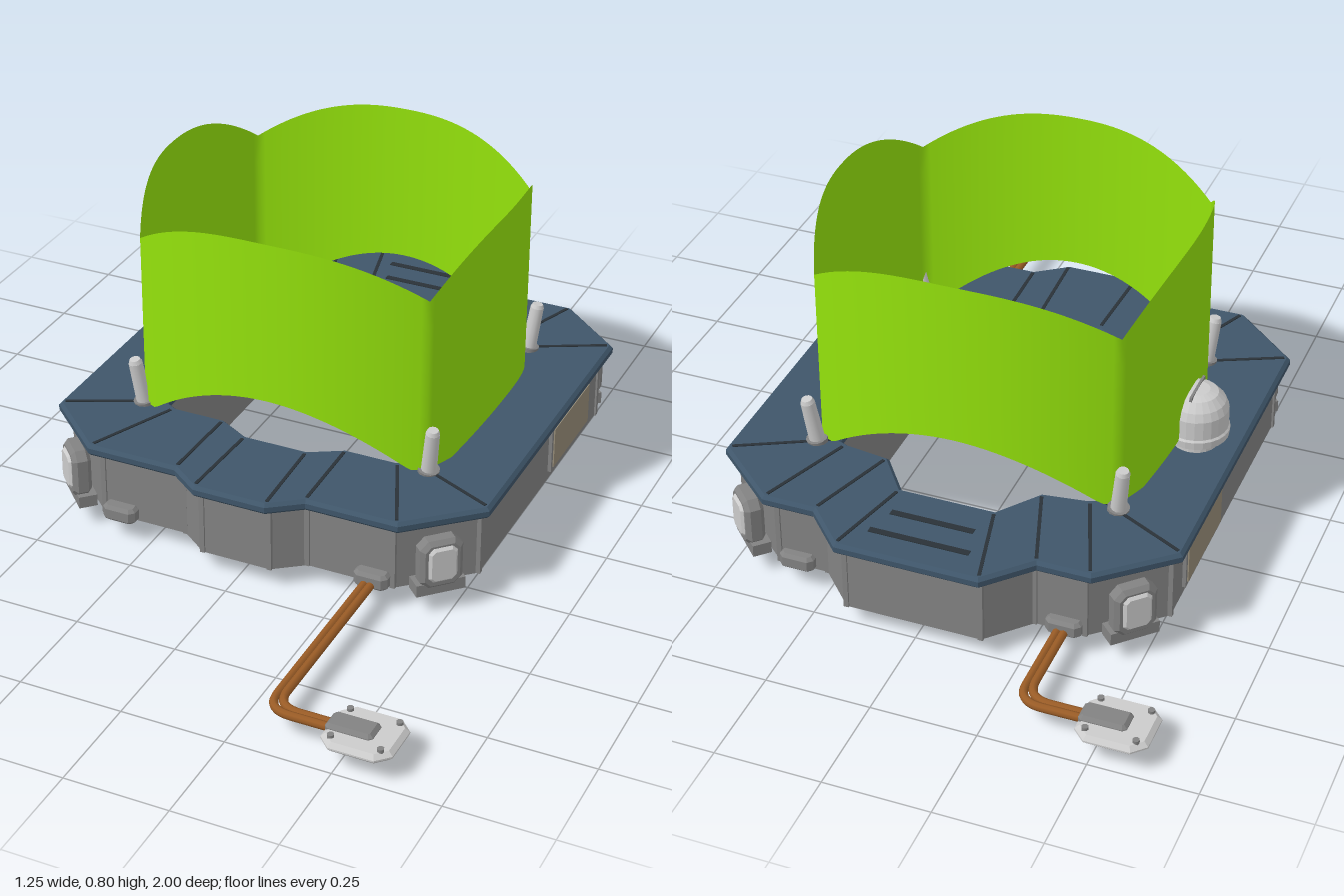
import * as THREE from 'three';

const mat = (color, extra = {}) => new THREE.MeshStandardMaterial({ color, ...extra });
const grey = mat(0xcccccc);
const bodyGrey = mat(0x828282);
const blue = mat(0x3f566a);
const dark = mat(0x2a3238);
const copper = mat(0x9a5c26);
const beige = mat(0x968c78);
const green = mat(0x94e20c, { side: THREE.DoubleSide });
const arrowGreen = mat(0x6fd000);
const CZ = -0.16; // centre of the ring along z

// half outlines of the ring, [x, z] from back to front; index-matched corners
const OUTER = [[0.17, -0.785], [0.265, -0.685], [0.39, -0.685], [0.55, -0.545], [0.55, 0.27], [0.39, 0.415], [0.165, 0.415], [0.09, 0.47]];
const INNER = [[0.115, -0.555], [0.19, -0.455], [0.3, -0.44], [0.325, -0.43], [0.325, 0.165], [0.29, 0.185], [0.16, 0.185], [0.08, 0.23]];

// full closed outline, counter-clockwise, scaled about the ring centre
function outline(half, s = 1) {
  const right = half.map(([x, z]) => new THREE.Vector2(x * s, -(CZ + (z - CZ) * s)));
  const left = right.map(p => new THREE.Vector2(-p.x, p.y)).reverse();
  return [...right, ...left].reverse();
}

function add(parent, name, geometry, material, pos = [0, 0, 0]) {
  const mesh = new THREE.Mesh(geometry, material);
  mesh.name = name;
  mesh.position.set(...pos);
  parent.add(mesh);
  return mesh;
}

// upright extrusion of a ring from y0 to y1, with optional bevel
function ring(parent, name, outer, inner, y0, y1, material, bevel = 0) {
  const shape = new THREE.Shape(outer);
  shape.holes.push(new THREE.Path(inner));
  const g = new THREE.ExtrudeGeometry(shape, {
    depth: y1 - y0 - 2 * bevel, bevelEnabled: bevel > 0, bevelSize: bevel,
    bevelThickness: bevel, bevelOffset: -bevel, bevelSegments: 1,
  });
  g.rotateX(-Math.PI / 2);
  add(parent, name, g, material, [0, y0 + bevel, 0]);
}

// thin bar lying between two [x, z] points
function bar(parent, name, a, b, y, w, h, material) {
  const dx = b[0] - a[0], dz = b[1] - a[1];
  const m = add(parent, name, new THREE.BoxGeometry(Math.hypot(dx, dz), h, w), material,
    [(a[0] + b[0]) / 2, y, (a[1] + b[1]) / 2]);
  m.rotation.y = -Math.atan2(dz, dx);
}

// plate with cut corners and bevelled edges, lying flat
function cutPlate(w, d, h, cut, bevel) {
  const x = w / 2, y = d / 2;
  const pts = [[x - cut, -y], [x, -y + cut], [x, y - cut], [x - cut, y], [-x + cut, y], [-x, y - cut], [-x, -y + cut], [-x + cut, -y]];
  const g = new THREE.ExtrudeGeometry(new THREE.Shape(pts.map(p => new THREE.Vector2(...p))), {
    depth: h - 2 * bevel, bevelSize: bevel, bevelThickness: bevel, bevelOffset: -bevel, bevelSegments: 1,
  });
  return g.translate(0, 0, bevel).rotateX(-Math.PI / 2);
}

// four bowed, arched panels meeting at the corners, as one closed sheet
function canopy(parent) {
  const n = 48, rows = 6, pos = [], idx = [];
  for (let k = 0; k < 4; k++) for (let i = 0; i < n; i++) {
    const t = (i / n) * 2 - 1, a = Math.abs(t), sign = k < 2 ? 1 : -1, wide = k % 2 === 0;
    const x = sign * (wide ? 0.365 * t : 0.435 - 0.07 * a ** 2.1);
    const z = sign * (wide ? 0.4 - 0.09 * a ** 2.1 : -0.31 * t);
    const top = 0.795 - 0.105 * a ** 2.5;
    const low = Math.max(0.25, wide ? 0.39 - 0.17 * a ** 2 : 0.295 - 0.08 * a ** 2);
    for (let j = 0; j <= rows; j++) pos.push(x, low + (top - low) * j / rows, z - 0.12);
  }
  for (let i = 0; i < 4 * n; i++) for (let j = 0; j < rows; j++) {
    const a = i * (rows + 1) + j, b = ((i + 1) % (4 * n)) * (rows + 1) + j;
    idx.push(a, b, a + 1, b, b + 1, a + 1);
  }
  const g = new THREE.BufferGeometry();
  g.setAttribute('position', new THREE.Float32BufferAttribute(pos, 3));
  g.setIndex(idx);
  g.computeVertexNormals();
  add(parent, 'canopy', g, green);
}

// ground pad with its connector and twin copper pipe back into the ring
function cableFoot(wallZ) {
  const g = new THREE.Group(), padZ = 0.924;
  g.name = 'cableFoot';
  add(g, 'pad', cutPlate(0.165, 0.152, 0.024, 0.03, 0.01), grey, [0.543, 0.05, padZ]);
  add(g, 'connector', cutPlate(0.11, 0.06, 0.032, 0.008, 0.008), bodyGrey, [0.515, 0.052, padZ]);
  for (const x of [-0.057, 0.057]) for (const z of [-0.05, 0.05])
    add(g, 'padBolt', new THREE.CylinderGeometry(0.008, 0.008, 0.012, 8), bodyGrey, [0.543 + x, 0.075, padZ + z]);
  for (const off of [-0.008, 0.008]) {
    const path = new THREE.CurvePath(), v = (x, z) => new THREE.Vector3(x, 0.062, z);
    const x = 0.322 + off, z = padZ - off;
    path.add(new THREE.LineCurve3(v(x, wallZ), v(x, z - 0.06)));
    path.add(new THREE.QuadraticBezierCurve3(v(x, z - 0.06), v(x, z), v(x + 0.06, z)));
    path.add(new THREE.LineCurve3(v(x + 0.06, z), v(0.49, z)));
    add(g, 'pipe', new THREE.TubeGeometry(path, 60, 0.01, 8), copper);
  }
  return g;
}

// lamp housing on a cut corner, built facing +z
function cornerLamp() {
  const g = new THREE.Group();
  g.name = 'cornerLamp';
  add(g, 'housing', cutPlate(0.105, 0.125, 0.045, 0.02, 0.01).rotateX(Math.PI / 2), bodyGrey, [0, 0.13, -0.015]);
  add(g, 'lens', cutPlate(0.07, 0.09, 0.016, 0.012, 0.006).rotateX(Math.PI / 2), grey, [0, 0.133, 0.021]);
  add(g, 'foot', new THREE.BoxGeometry(0.12, 0.03, 0.045), bodyGrey, [0, 0.065, 0]);
  return g;
}

// flat arrow pointing down, facing +z
function arrow() {
  const s = new THREE.Shape([[0, -0.05], [0.03, -0.015], [0.01, -0.015], [0.01, 0.05], [-0.01, 0.05], [-0.01, -0.015], [-0.03, -0.015]].map(p => new THREE.Vector2(...p)));
  return new THREE.ExtrudeGeometry(s, { depth: 0.005, bevelEnabled: false });
}

export function createModel() {
  const model = new THREE.Group();
  model.name = 'ringStation';

  // hollow ring: outer wall, inner collar, foot flange and blue top
  ring(model, 'outerWall', outline(OUTER, 0.957), outline(OUTER, 0.93), 0.05, 0.225, bodyGrey);
  ring(model, 'innerCollar', outline(INNER, 1.012), outline(INNER, 0.995), 0, 0.225, bodyGrey);
  ring(model, 'footFlange', outline(INNER, 1.05), outline(INNER, 0.995), 0, 0.006, bodyGrey);
  ring(model, 'collarRib', outline(INNER, 1.03), outline(INNER, 1.0), 0.04, 0.052, bodyGrey);
  ring(model, 'topDeck', outline(OUTER, 1.012), outline(INNER, 0.985), 0.218, 0.247, blue, 0.008);

  for (const s of [1, -1]) {
    // seams between deck plates
    OUTER.forEach((o, i) => {
      const p = INNER[i];
      const at = t => [s * (o[0] + (p[0] - o[0]) * t), o[1] + (p[1] - o[1]) * t];
      bar(model, 'deckSeam', at(0.03), at(0.95), 0.2465, 0.008, 0.005, dark);
    });
    // vertical ribs on the outer wall corners
    for (const [x, z] of OUTER)
      add(model, 'wallRib', new THREE.BoxGeometry(0.012, 0.17, 0.012), bodyGrey, [s * x * 0.955, 0.136, CZ + (z - CZ) * 0.955]);
    // side windows
    add(model, 'windowFrame', new THREE.BoxGeometry(0.034, 0.125, 0.26), bodyGrey, [s * 0.518, 0.135, -0.32]);
    add(model, 'window', new THREE.BoxGeometry(0.04, 0.105, 0.24), beige, [s * 0.518, 0.135, -0.32]);
    // brackets low on the front and back walls
    for (const z of [0.4, -0.665])
      add(model, 'bracket', cutPlate(0.085, 0.045, 0.04, 0.012, 0.008), bodyGrey, [s * 0.325, 0.05, z]);

    for (const f of [1, -1]) {
      // corner lamps
      const lamp = cornerLamp();
      lamp.position.set(s * 0.463, 0, f > 0 ? 0.346 : -0.616);
      lamp.rotation.y = Math.atan2(s, f);
      model.add(lamp);
      // leaning posts holding the canopy corners
      const post = new THREE.Group();
      post.name = 'cornerPost';
      add(post, 'postRod', new THREE.CylinderGeometry(0.017, 0.019, 0.115, 12), grey, [0, 0.058, 0]);
      add(post, 'postCap', new THREE.CylinderGeometry(0.013, 0.017, 0.01, 12), grey, [0, 0.12, 0]);
      add(post, 'postBase', new THREE.CylinderGeometry(0.026, 0.026, 0.012, 12), bodyGrey, [0, 0.004, 0]);
      post.position.set(s * 0.37, 0.245, -0.13 + f * 0.317);
      post.rotation.set(f * 0.12, 0, -s * 0.12);
      model.add(post);
    }
  }

  // vent slots on the back deck
  for (const [z, w] of [[-0.715, 0.24], [-0.64, 0.2]])
    add(model, 'ventSlot', new THREE.BoxGeometry(w, 0.004, 0.016), dark, [0, 0.247, z]);

  canopy(model);

  // beacon on the right side of the deck
  const profile = [[0, 0], [0.055, 0], [0.055, 0.012], [0.045, 0.016], [0.045, 0.022], [0.078, 0.026], [0.08, 0.045], [0.076, 0.05], [0.076, 0.098], [0.068, 0.118], [0.05, 0.138], [0.03, 0.145], [0, 0.146]];
  const beacon = new THREE.Group();
  beacon.name = 'beacon';
  beacon.position.set(-0.447, 0.246, -0.13);
  const lathe = new THREE.LatheGeometry(profile.map(p => new THREE.Vector2(...p)), 24).toNonIndexed();
  lathe.computeVertexNormals();
  add(beacon, 'dome', lathe, grey);
  add(beacon, 'domeRidge', new THREE.BoxGeometry(0.006, 0.048, 0.1), bodyGrey, [0, 0.124, 0]);
  model.add(beacon);

  // arrows on the inside of the opening
  const front = add(model, 'frontArrow', arrow(), arrowGreen, [0, 0.11, 0.229]);
  front.rotation.y = Math.PI;
  const side = add(model, 'sideArrow', arrow(), arrowGreen, [0.325, 0.12, -0.1]);
  side.rotation.y = -Math.PI / 2;

  // cable feet at opposite corners
  model.add(cableFoot(0.32));
  const backFoot = cableFoot(0.56);
  backFoot.rotation.y = Math.PI;
  model.add(backFoot);
  return model;
}
